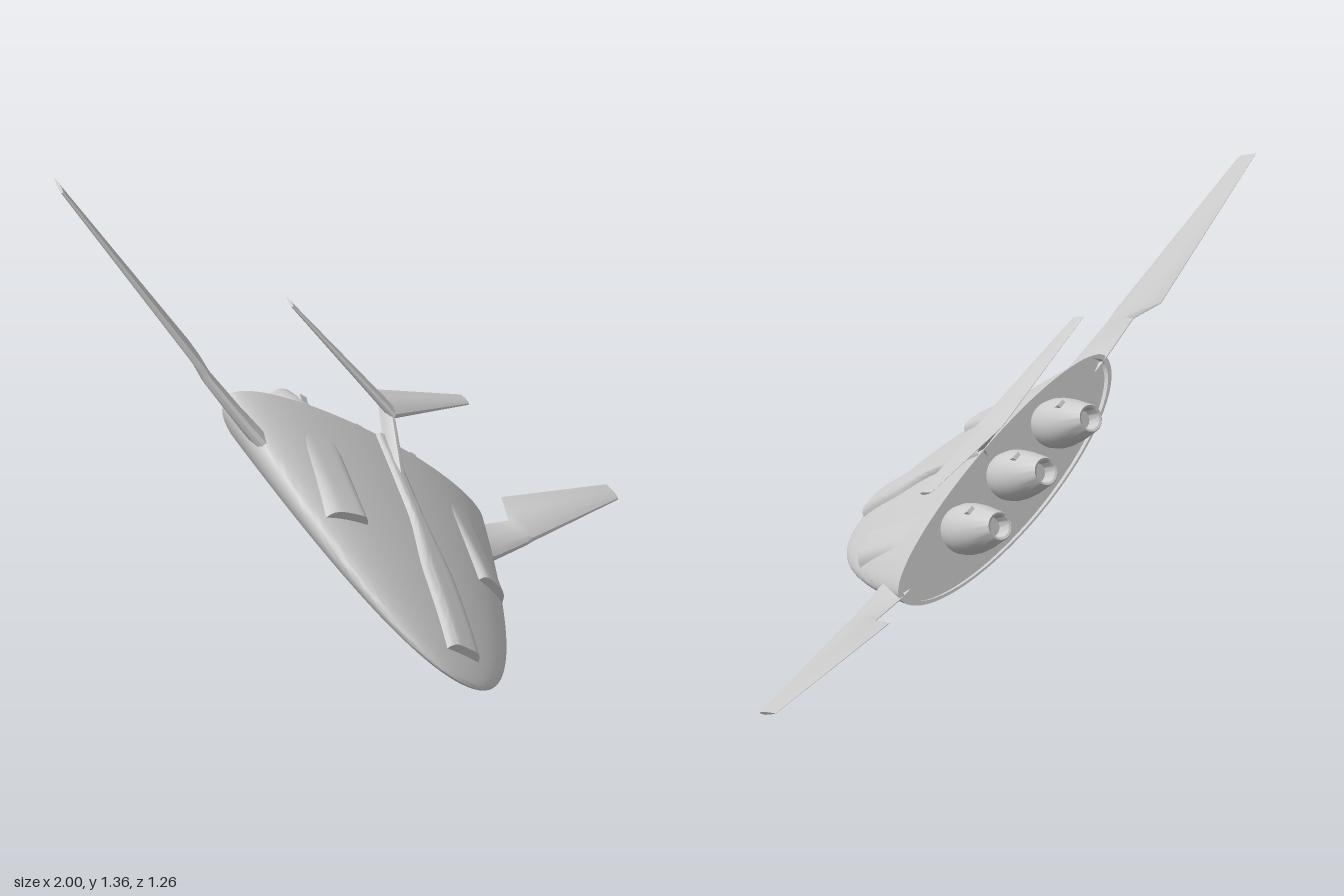
import * as THREE from 'three';
import { toCreasedNormals } from 'three/addons/utils/BufferGeometryUtils.js';

const grey = new THREE.MeshStandardMaterial({ color: 0xcccccc });
const greyThin = new THREE.MeshStandardMaterial({ color: 0xcccccc, side: THREE.DoubleSide });
const NOSE = 0.79, REAR = -0.165;

// Skin through rings of [x, y, z] points; `closed` joins each ring to itself.
function skin(rings, closed = true, crease = 0.7) {
  const n = rings[0].length, index = [];
  for (let i = 0; i + 1 < rings.length; i++) {
    for (let j = 0; j < (closed ? n : n - 1); j++) {
      const k = (j + 1) % n, a = i * n + j, b = i * n + k;
      index.push(a, b, b + n, a, b + n, a + n);
    }
  }
  const g = new THREE.BufferGeometry();
  g.setAttribute('position', new THREE.Float32BufferAttribute(rings.flat(2), 3));
  g.setIndex(index);
  return toCreasedNormals(g, crease);
}

// Adds a flat cap at both ends of a list of rings.
function capped(rings) {
  const cap = (r) => {
    const c = [0, 1, 2].map((k) => r.reduce((s, p) => s + p[k], 0) / r.length);
    return r.map(() => c);
  };
  return [cap(rings[0]), ...rings, cap(rings[rings.length - 1])];
}

// Hull cross-section sizes at a given z.
function hullAt(z) {
  const t = Math.max((NOSE - z) / (NOSE - REAR), 0);
  return {
    width: 0.545 * t ** 0.48,
    edge: 0.08 + 0.09 * t,
    top: 0.08 + 0.2 * t ** 0.7,
    bottom: 0.08 - 0.08 * Math.sqrt(t),
  };
}

function hullTop(x, z) {
  const h = hullAt(z);
  return h.edge + (h.top - h.edge) * Math.sqrt(Math.max(0, 1 - (x / h.width) ** 2));
}

function hullRing(z, scale = 1, sizeZ = z) {
  const h = hullAt(sizeZ), ring = [];
  for (let i = 0; i < 72; i++) {
    const a = (i / 72) * Math.PI * 2, s = Math.sin(a);
    const y = s * (s > 0 ? h.top - h.edge : h.edge - h.bottom);
    ring.push([Math.cos(a) * h.width * scale, h.edge + y * scale, z]);
  }
  return ring;
}

// Raised fairing that follows the top of the hull and sinks into it at its rim.
function fairing(centre, front, back, halfWidth, height) {
  const rows = [], nz = 30, nx = 16;
  for (let i = 0; i <= nz; i++) {
    const v = Math.max(0, i - 1) / (nz - 1), row = [];
    const z = front + (back - front) * v, w = halfWidth(v);
    for (let j = 0; j <= nx; j++) {
      const s = (j / nx) * 2 - 1, x = centre + s * w;
      const lift = i === 0 ? -0.012 : height(v) * (1 - s ** 6) - 0.006 * s ** 6;
      row.push([x, hullTop(x, z) + lift, z]);
    }
    rows.push(row);
  }
  return skin(rows, false, 0.6);
}

// Aerofoil outline: leading edge, one face, trailing edge, other face.
const FOIL = [[0, 0], [0.04, -0.55], [0.25, -1], [0.6, -0.7], [1, -0.06],
  [1, 0.06], [0.6, 0.7], [0.25, 1], [0.04, 0.55]];

// Wing from stations [x, y, leading z, trailing z, half thickness].
function wing(stations, side) {
  const rings = stations.map(([x, y, lead, trail, th]) => {
    const ring = FOIL.map(([c, t]) => [side * x, y + t * th, lead + (trail - lead) * c]);
    return side > 0 ? ring : ring.reverse();
  });
  return skin(capped(rings));
}

export function createModel() {
  const model = new THREE.Group();
  model.name = 'spacecraft';

  // The craft is banked and pitched nose-down
  const right = new THREE.Vector3(0.81, -0.552, 0.2025).normalize();
  const up = new THREE.Vector3().crossVectors(new THREE.Vector3(-0.411, -0.286, 0.866), right).normalize();
  const forward = new THREE.Vector3().crossVectors(right, up);
  const craft = new THREE.Group();
  craft.name = 'craft';
  craft.quaternion.setFromRotationMatrix(new THREE.Matrix4().makeBasis(right, up, forward));
  craft.position.set(-0.3645, 0.248, -0.091);
  model.add(craft);

  const add = (name, geometry, material = grey, parent = craft) => {
    const mesh = new THREE.Mesh(geometry, material);
    mesh.name = name;
    parent.add(mesh);
    return mesh;
  };

  // Hull: recessed rear bulkhead, rim, then the shell out to the nose
  const rings = [hullRing(-0.145, 0.001, REAR), hullRing(-0.145, 0.965, REAR),
    hullRing(REAR, 0.965, REAR)];
  for (let i = 0; i <= 48; i++) {
    const t = (1 - i / 48) ** 2;
    rings.push(hullRing(NOSE - t * (NOSE - REAR)));
  }
  add('hull', skin(rings, true, 0.8));

  // Canopy with its tapering spine
  const canopyWidth = (v) => 0.066 - 0.034 * THREE.MathUtils.smoothstep(v, 0.3, 0.62);
  add('canopy', fairing(0, 0.7, -0.16, canopyWidth, (v) => 0.024 - 0.01 * v), greyThin);

  const wingStations = [
    [0.45, 0.15, 0.06, -0.13, 0.026],
    [0.53, 0.168, 0.007, -0.165, 0.022],
    [0.675, 0.21, -0.09, -0.225, 0.017],
    [0.705, 0.225, -0.11, -0.355, 0.016],
    [1.21, 0.382, -0.448, -0.539, 0.006],
  ];
  const tailStations = [
    [0, 0.349, -0.178, -0.335, 0.016],
    [0.386, 0.431, -0.403, -0.462, 0.005],
  ];
  for (const side of [1, -1]) {
    const label = side > 0 ? 'left' : 'right';
    add(label + 'Wing', wing(wingStations, side));
    add(label + 'Tailplane', wing(tailStations, side));
    // Shoulder fairing, fading out towards the rear
    add(label + 'Fairing', fairing(side * 0.3, 0.31, -0.08, () => 0.07, (v) => 0.024 * (1 - v) - 0.004 * v), greyThin);
  }

  // Swept tail fin: stations [y, leading z, trailing z, half thickness]
  const fin = [[0.2, 0.204, -0.12, 0.016], [0.28, -0.004, -0.16, 0.014], [0.35, -0.186, -0.33, 0.01]];
  add('tailFin', skin(capped(fin.map(([y, lead, trail, th]) =>
    FOIL.map(([c, t]) => [-t * th, y, lead + (trail - lead) * c])))));

  // Three engines with hollow nozzles
  const profile = [[0.062, 0], [0.074, 0.03], [0.079, 0.07], [0.076, 0.11], [0.066, 0.16],
    [0.045, 0.235], [0.041, 0.24], [0.034, 0.237], [0.03, 0.19], [0, 0.19]]
    .map(([r, h]) => new THREE.Vector2(r, h));
  const engineGeometry = toCreasedNormals(new THREE.LatheGeometry(profile, 36), 0.6);
  for (const x of [-0.237, 0, 0.237]) {
    const engine = new THREE.Group();
    engine.name = 'engine';
    engine.position.set(x, 0.162, -0.13);
    engine.rotation.x = -Math.PI / 2;
    craft.add(engine);
    add('engineBell', engineGeometry, greyThin, engine);
    // Small vent block on top of the bell
    const vent = add('engineVent', new THREE.BoxGeometry(0.026, 0.03, 0.012), grey, engine);
    vent.position.set(0, 0.145, 0.068);
    vent.rotation.x = 0.25;
  }

  return model;
}
